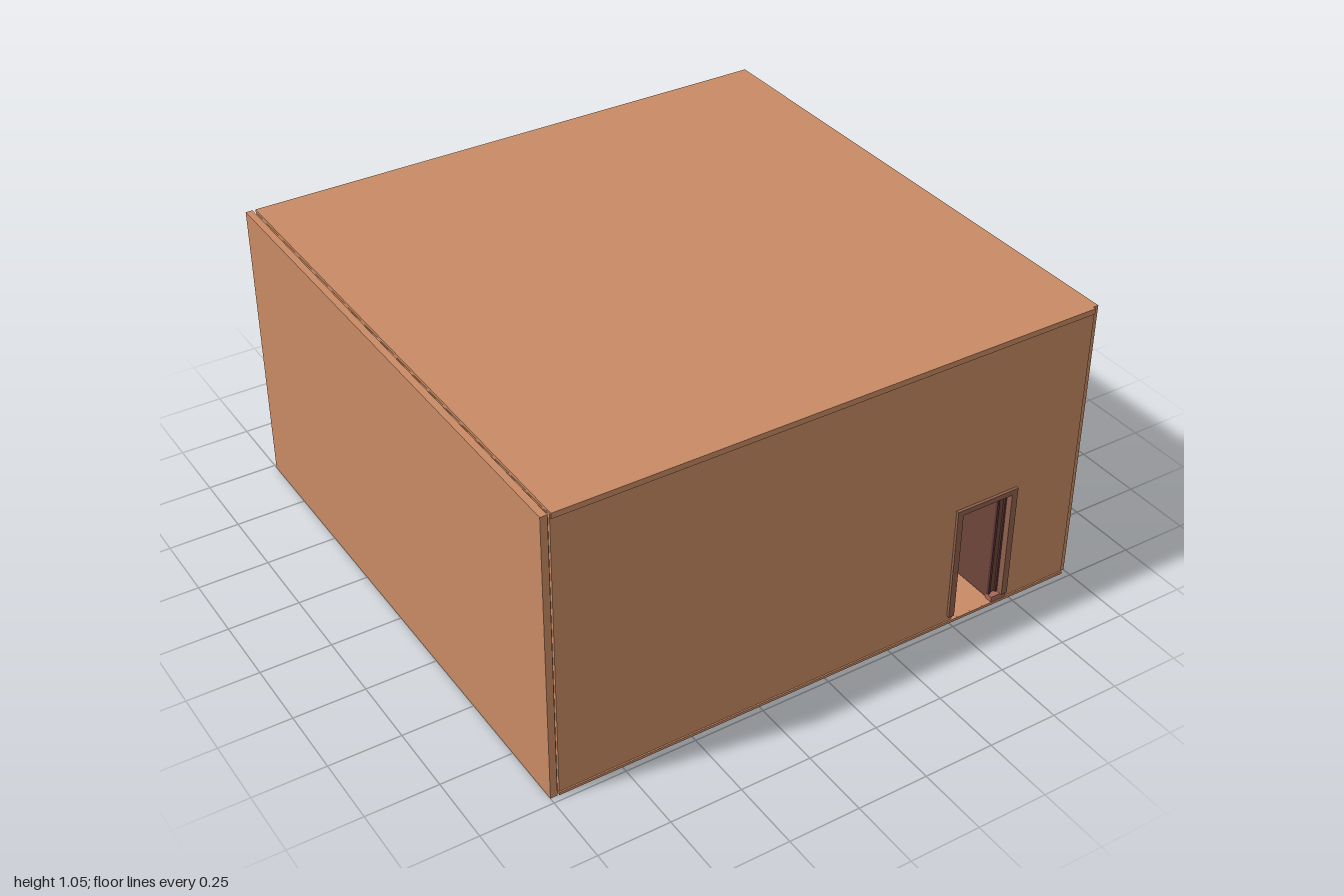
import * as THREE from 'three';

const material = (color) => new THREE.MeshStandardMaterial({ color, flatShading: true });
const WALL = material(0xc98a64);
const FRAME = material(0x8f604c);
const DOOR = material(0x6e4639);
const WOOD = material(0x7a4a3c);
const SEAT = material(0x5a3434);
const DARK = material(0x1f2a2a);
const SOFT = material(0xa8685a);

// Box given by its extents on each axis
function slab(parent, name, mat, [x0, x1], [y0, y1], [z0, z1]) {
  const mesh = new THREE.Mesh(new THREE.BoxGeometry(x1 - x0, y1 - y0, z1 - z0), mat);
  mesh.position.set((x0 + x1) / 2, (y0 + y1) / 2, (z0 + z1) / 2);
  mesh.name = name;
  parent.add(mesh);
  return mesh;
}

function group(parent, name) {
  const g = new THREE.Group();
  g.name = name;
  parent.add(g);
  return g;
}

// Rectangle as a counter-clockwise outline
function rect(Type, x0, x1, y0, y1) {
  const path = new Type();
  path.moveTo(x0, y0).lineTo(x1, y0).lineTo(x1, y1).lineTo(x0, y1).closePath();
  return path;
}

function buildRoom(root) {
  const room = group(root, 'room');
  slab(room, 'floor', WALL, [-0.97, 0.98], [0, 0.01], [-0.97, 0.98]);
  slab(room, 'ceiling', WALL, [-0.965, 0.98], [1.03, 1.05], [-0.97, 0.978]);
  slab(room, 'backWall', WALL, [-0.965, 0.98], [0, 1.05], [-0.985, -0.965]);
  slab(room, 'rightWall', WALL, [0.978, 1], [0, 1.05], [-0.985, 0.967]);

  // Left wall stands off the room by a narrow gap, part of it filled
  slab(room, 'leftWall', WALL, [-1, -0.976], [0, 1.05], [-0.985, 0.978]);
  slab(room, 'gapFiller', WALL, [-0.976, -0.964], [0, 1.035], [-0.26, 0.965]);
  slab(room, 'innerLeftWall', WALL, [-0.966, -0.955], [0.01, 1.04], [-0.97, 0.965]);

  // Front wall with the doorway cut out
  const shape = rect(THREE.Shape, -0.968, 0.98, 0.01, 1.045);
  shape.holes.push(rect(THREE.Path, 0.512, 0.712, 0.0101, 0.44));
  const front = new THREE.Mesh(
    new THREE.ExtrudeGeometry(shape, { depth: 0.02, bevelEnabled: false }), WALL);
  front.position.z = 0.955;
  front.name = 'frontWall';
  room.add(front);
}

function buildDoor(root) {
  const door = group(root, 'doorway');
  const depth = [0.95, 0.985];
  slab(door, 'leftJamb', FRAME, [0.712, 0.735], [0.03, 0.46], depth);
  slab(door, 'rightJamb', FRAME, [0.492, 0.514], [0.03, 0.46], depth);
  slab(door, 'lintel', FRAME, [0.492, 0.735], [0.44, 0.46], depth);
  // Door leaf swung into the room
  slab(door, 'doorLeaf', DOOR, [0.676, 0.709], [0.015, 0.438], [0.76, 0.955]);
  for (const x of [0.676, 0.705])
    slab(door, 'doorEdgeStrip', SEAT, [x, x + 0.008], [0.03, 0.438], [0.952, 0.962]);
  slab(door, 'doorStop', SOFT, [0.675, 0.734], [0.01, 0.03], [0.95, 0.978]);
  slab(door, 'edgePlate', DARK, [0.733, 0.739], [0.175, 0.285], [0.97, 0.98]);
}

function buildFurniture(root) {
  // Desk against the back wall
  const desk = group(root, 'desk');
  slab(desk, 'deskTop', WOOD, [0.46, 0.86], [0.16, 0.172], [-0.93, -0.73]);
  for (const x of [0.465, 0.84])
    for (const z of [-0.925, -0.75])
      slab(desk, 'deskLeg', WOOD, [x, x + 0.015], [0.01, 0.16], [z, z + 0.015]);

  // Screen with slanted sides
  const screen = group(root, 'screen');
  const outline = new THREE.Shape([[0.61, 0.172], [0.76, 0.172], [0.79, 0.285], [0.64, 0.285]]
    .map(([x, y]) => new THREE.Vector2(x, y)));
  const panel = new THREE.Mesh(
    new THREE.ExtrudeGeometry(outline, { depth: 0.015, bevelEnabled: false }), DARK);
  panel.name = 'screenPanel';
  panel.position.z = -0.85;
  screen.add(panel);

  // Chair, seen side on from the door
  const chair = group(root, 'chair');
  slab(chair, 'chairSeat', WOOD, [0.545, 0.665], [0.095, 0.106], [-0.66, -0.55]);
  slab(chair, 'chairBack', SEAT, [0.545, 0.595], [0.106, 0.27], [-0.66, -0.55]);
  for (const x of [0.545, 0.586, 0.657])
    for (const z of [-0.66, -0.558])
      slab(chair, 'chairLeg', WOOD, [x, x + 0.008], [0.01, 0.095], [z, z + 0.008]);

  // Small cushions heaped on the floor
  const cushions = group(root, 'cushions');
  for (const [x, y, r] of [[0.65, 0.04, 0.032], [0.66, 0.08, 0.025], [0.665, 0.115, 0.018]]) {
    const c = new THREE.Mesh(new THREE.SphereGeometry(r, 10, 8), SOFT);
    c.name = 'cushion';
    c.position.set(x, y, -0.4);
    cushions.add(c);
  }
}

export function createModel() {
  const root = new THREE.Group();
  root.name = 'roomModel';
  buildRoom(root);
  buildDoor(root);
  buildFurniture(root);
  return root;
}
